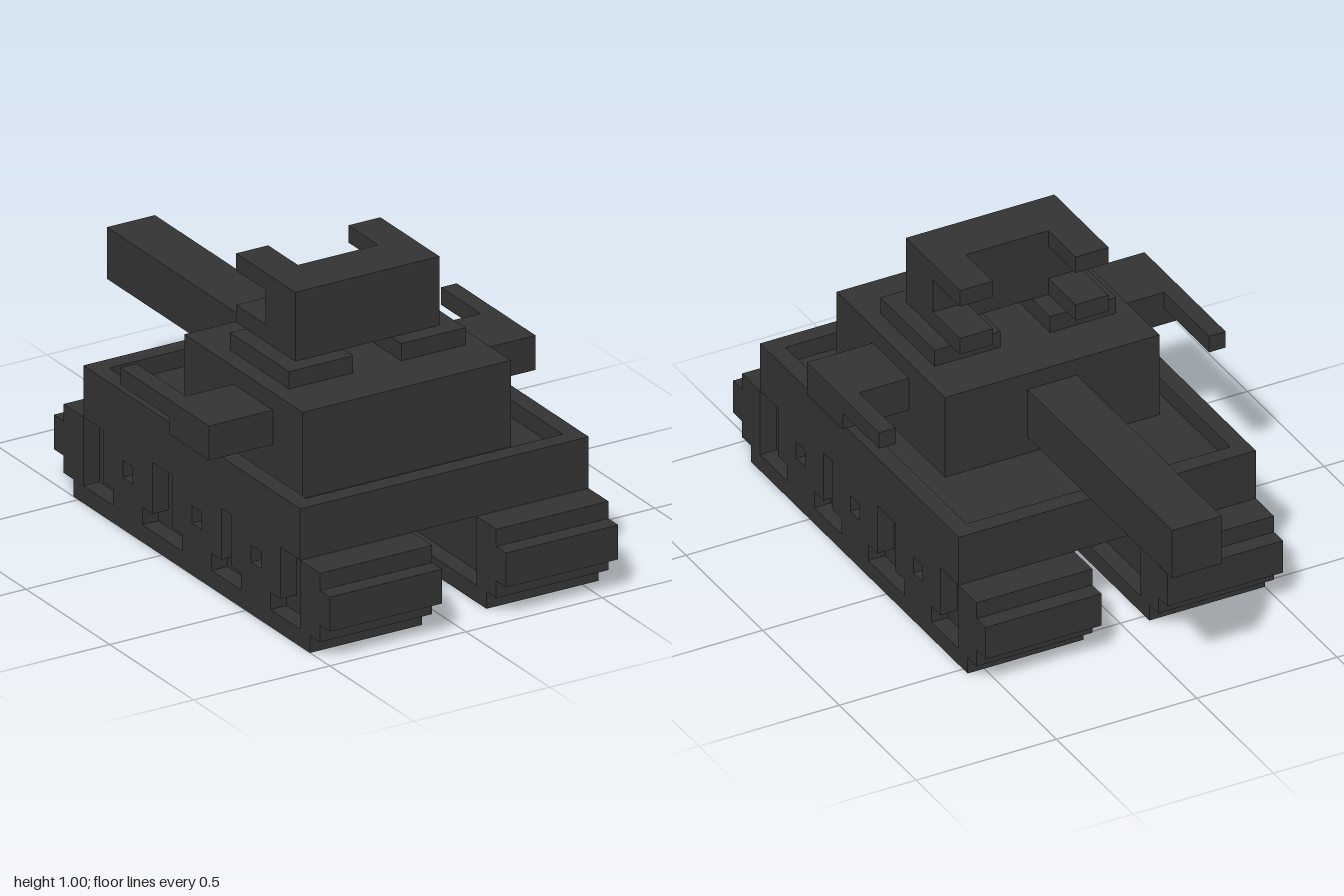
import * as THREE from 'three';

const U = 2 / 34; // size of one block
const darkSteel = new THREE.MeshStandardMaterial({ color: 0x333333 });
darkSteel.name = 'darkSteel';

// Box between block coordinates: x 0..21, y 0..17, z 0..34
function block(parent, name, [x0, x1], [y0, y1], [z0, z1]) {
  const geo = new THREE.BoxGeometry((x1 - x0) * U, (y1 - y0) * U, (z1 - z0) * U);
  const mesh = new THREE.Mesh(geo, darkSteel);
  mesh.name = name;
  mesh.position.set(((x0 + x1) / 2 - 10.5) * U, ((y0 + y1) / 2) * U, ((z0 + z1) / 2 - 17) * U);
  parent.add(mesh);
}

function part(parent, name) {
  const g = new THREE.Group();
  g.name = name;
  parent.add(g);
  return g;
}

// Track: sole, stepped ends, inset core and an outer plate with cut-outs
function addTrack(parent, name, mirrored) {
  const track = part(parent, name);
  const mx = (a, b) => (mirrored ? [22 - b, 22 - a] : [a, b]);
  block(track, 'trackSole', mx(2, 9), [0, 1], [8, 32]);
  for (const [y0, y1, z0, z1] of [[1, 2, 7, 33], [2, 4, 6, 34], [4, 5, 7, 33]]) {
    block(track, 'trackBackStep', mx(2, 9), [y0, y1], [z0, 9]);
    block(track, 'trackFrontStep', mx(2, 9), [y0, y1], [31, z1]);
  }
  block(track, 'trackCore', mx(3, 8), [1, 5], [9, 31]);
  // Solid spans of the outer plate, row by row
  const panels = [[11, 16], [18, 23], [24, 29]];
  const rows = [
    [[12, 15], [19, 22], [25, 28]],
    panels,
    [[11, 13], [14, 16], [18, 20], [21, 23], [24, 26], [27, 29]],
    panels,
  ];
  rows.forEach((spans, r) => {
    for (const z of spans) block(track, 'trackSidePlate', mx(2, 3), [r + 1, r + 2], z);
  });
}

export function createModel() {
  const model = new THREE.Group();
  model.name = 'tank';

  addTrack(model, 'rightTrack', false);
  addTrack(model, 'leftTrack', true);

  // Hull with a raised rim around a sunken deck
  const hull = part(model, 'hull');
  block(hull, 'deck', [2, 20], [5, 7], [9, 31]);
  block(hull, 'rimRight', [2, 3], [7, 8], [9, 31]);
  block(hull, 'rimLeft', [19, 20], [7, 8], [9, 31]);
  block(hull, 'rimBack', [3, 19], [7, 8], [9, 10]);
  block(hull, 'rimFront', [3, 19], [7, 8], [30, 31]);

  // Turret, cannon and side arms
  const turret = part(model, 'turret');
  block(turret, 'turretBody', [4, 17], [7, 12], [16, 28]);
  block(turret, 'cannon', [9, 12], [8, 11], [0, 16]);
  block(turret, 'rightArm', [0, 4], [9, 11], [21, 25]);
  block(turret, 'rightArmBar', [0, 1], [10, 11], [16, 21]);
  block(turret, 'leftArm', [17, 21], [9, 11], [20, 24]);
  block(turret, 'leftArmBar', [20, 21], [10, 11], [16, 20]);

  // Top shield on two footplates, with prongs pointing back
  const shield = part(model, 'topShield');
  block(shield, 'shieldWall', [6, 15], [13, 17], [21, 24]);
  for (const flip of [false, true]) {
    const mx = (a, b) => (flip ? [21 - b, 21 - a] : [a, b]);
    block(shield, 'footplate', mx(5, 9), [12, 13], [19, 25]);
    block(shield, 'lowerProng', mx(6, 8), [13, 14], [18, 21]);
    block(shield, 'upperProng', mx(6, 8), [16, 17], [18, 21]);
  }
  return model;
}
